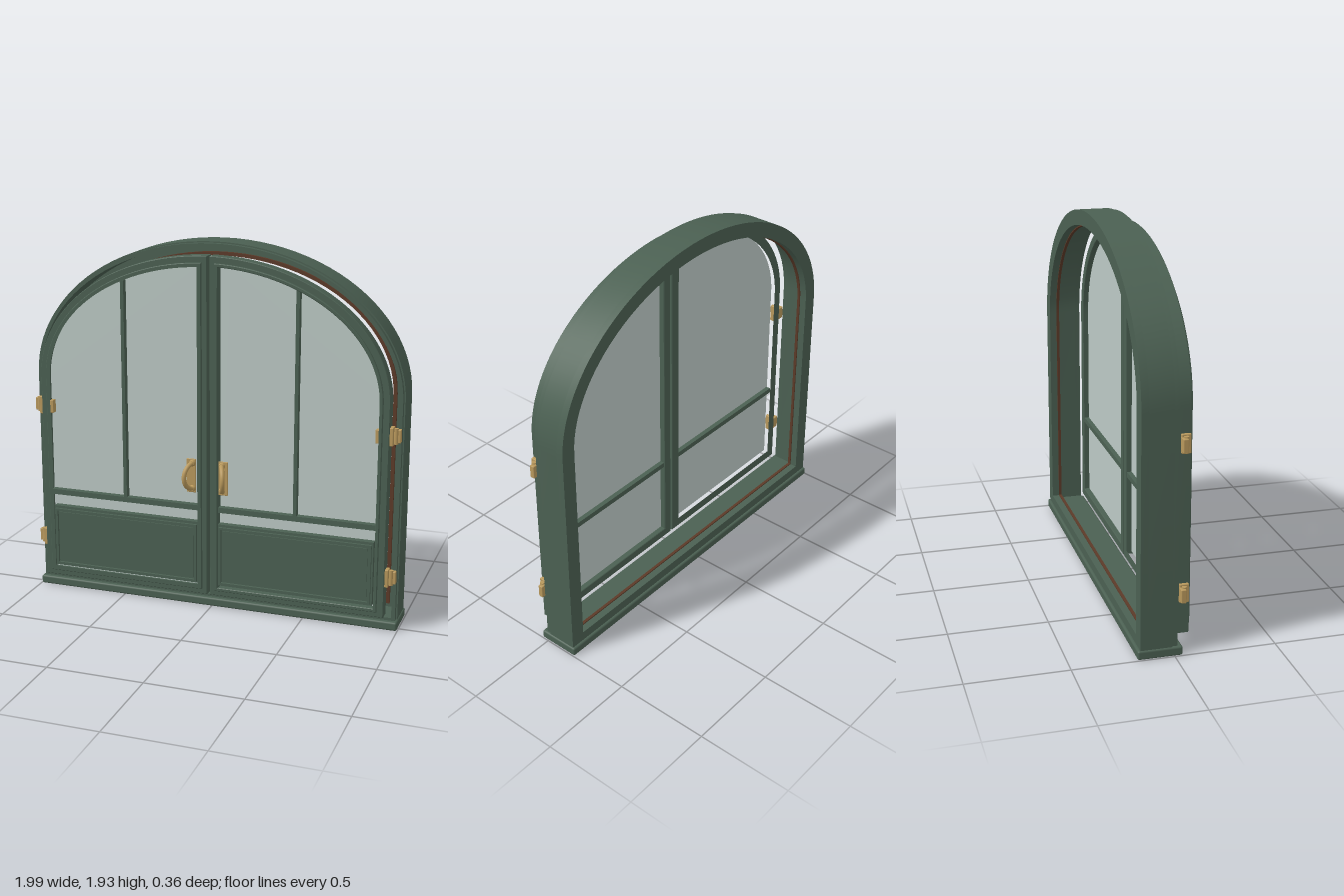
import * as THREE from 'three';
import { toCreasedNormals } from 'three/addons/utils/BufferGeometryUtils.js';
import { RoundedBoxGeometry } from 'three/addons/geometries/RoundedBoxGeometry.js';

const SPRING = 1.2; // height where the elliptical arch begins

export function createModel() {
  const mat = (name, color) => {
    const m = new THREE.MeshStandardMaterial({ color });
    m.name = name;
    return m;
  };
  const green = mat('green paint', 0x4b6052);
  const glass = mat('pale glass', 0xbcc9c5);
  const brass = mat('brass', 0xb8985c);
  const rubber = mat('brown seal', 0x5c3a28);

  const model = new THREE.Group();
  model.name = 'archedDoubleWindow';

  const add = (parent, name, geometry, material) => {
    const m = new THREE.Mesh(geometry, material);
    m.name = name;
    parent.add(m);
    return m;
  };

  // Box given by its limits; side s mirrors it in x
  const box = (parent, name, material, s, [x0, x1], [y0, y1], [z0, z1], radius = 0) => {
    const size = [x1 - x0, y1 - y0, z1 - z0];
    const g = radius ? new RoundedBoxGeometry(...size, 2, radius) : new THREE.BoxGeometry(...size);
    g.translate((s * (x0 + x1)) / 2, (y0 + y1) / 2, (z0 + z1) / 2);
    return add(parent, name, g, material);
  };

  // Arch outline from x0 to r, from bottom to the crown; x0 = -r is the whole arch
  const outline = (s, x0, r, bottom, top) => {
    const pts = [[x0, bottom], [r, bottom]];
    const end = Math.acos(x0 / r), n = 48;
    for (let i = 0; i <= n; i++) {
      const a = (end * i) / n;
      pts.push([r * Math.cos(a), SPRING + (top - SPRING) * Math.sin(a)]);
    }
    return pts.map(([x, y]) => new THREE.Vector2(s * x, y));
  };

  // Extruded arch, with an optional arched opening
  const arch = (parent, name, material, s, outer, inner, z0, z1, bevel = 0) => {
    const shape = new THREE.Shape(outline(s, ...outer));
    if (inner) shape.holes.push(new THREE.Path(outline(s, ...inner)));
    const g = new THREE.ExtrudeGeometry(shape, {
      depth: z1 - z0 - 2 * bevel,
      bevelEnabled: bevel > 0,
      bevelThickness: bevel, bevelSize: bevel, bevelOffset: -bevel, bevelSegments: 1,
    });
    g.translate(0, 0, z0 + bevel);
    return add(parent, name, toCreasedNormals(g, 0.4), material);
  };

  // Fixed frame: back flange, deep rebate, front lip, seal and sill
  const frame = new THREE.Group();
  frame.name = 'frame';
  model.add(frame);
  const full = (r, bottom, top) => [-r, r, bottom, top];
  arch(frame, 'frameFlange', green, 1, full(0.99, 0.03, 1.935), full(0.913, 0.095, 1.857), -0.167, -0.13);
  arch(frame, 'frameBody', green, 1, full(0.99, 0.03, 1.935), full(0.963, 0.06, 1.908), -0.13, -0.01);
  arch(frame, 'frameLip', green, 1, full(0.983, 0.03, 1.928), full(0.963, 0.06, 1.908), -0.01, 0.016);
  arch(frame, 'seal', rubber, 1, full(0.925, 0.083, 1.869), full(0.907, 0.101, 1.851), -0.13, -0.115);
  box(frame, 'sill', green, 1, [-0.997, 0.997], [0, 0.046], [-0.18, 0.04], 0.01);

  for (const s of [1, -1]) {
    const door = new THREE.Group();
    door.name = s > 0 ? 'leftDoor' : 'rightDoor';
    model.add(door);

    // Sash with raised trim and glass
    arch(door, 'sash', green, s, [0.007, 0.935, 0.085, 1.875], [0.055, 0.887, 0.132, 1.826], 0.02, 0.086, 0.003);
    arch(door, 'sashTrim', green, s, [0.034, 0.902, 0.115, 1.842], [0.053, 0.884, 0.134, 1.824], 0.084, 0.1, 0.003);
    arch(door, 'glass', glass, s, [0.05, 0.892, 0.127, 1.831], null, 0.05, 0.057);

    // Glazing bars
    box(door, 'crossBar', green, s, [0.05, 0.888], [0.548, 0.576], [0.025, 0.09]);
    box(door, 'uprightBar', green, s, [0.455, 0.473], [0.57, 1.73], [0.057, 0.09]);

    // Lower panel with a stepped bead around its field
    const panel = new THREE.Group();
    panel.name = 'lowerPanel';
    door.add(panel);
    box(panel, 'panelBoard', green, s, [0.055, 0.877], [0.146, 0.485], [0.058, 0.092]);
    const x0 = 0.062, x1 = 0.868, y0 = 0.155, y1 = 0.472, w = 0.012;
    for (const y of [y0, y1 - w]) box(panel, 'panelBead', green, s, [x0, x1], [y, y + w], [0.09, 0.105]);
    for (const x of [x0, x1 - w]) box(panel, 'panelBead', green, s, [x, x + w], [y0, y1], [0.09, 0.105]);
    box(panel, 'panelField', green, s, [0.082, 0.848], [0.175, 0.452], [0.09, 0.098]);

    // Hinges, with a small keeper beside the upper one
    for (const y of [0.295, 1.035]) {
      const hinge = new THREE.Group();
      hinge.name = 'hinge';
      door.add(hinge);
      box(hinge, 'hingeLeaf', brass, s, [0.945, 0.987], [y - 0.034, y + 0.034], [0.032, 0.058], 0.004);
      box(hinge, 'hingeBlock', brass, s, [0.934, 0.953], [y - 0.047, y + 0.047], [0.034, 0.08], 0.004);
      const pin = new THREE.CylinderGeometry(0.012, 0.012, 0.08, 16);
      pin.translate(s * 0.962, y, 0.053);
      add(hinge, 'hingePin', pin, brass);
    }
    box(door, 'keeper', brass, s, [0.867, 0.886], [1.0, 1.07], [0.06, 0.092], 0.003);

    // Pull handle: back plate, feet and bowed grip leaning outward
    const handle = new THREE.Group();
    handle.name = 'handle';
    door.add(handle);
    box(handle, 'handlePlate', brass, s, [0.062, 0.112], [0.65, 0.83], [0.098, 0.107], 0.003);
    const pts = [];
    for (let i = 0; i <= 12; i++) {
      const a = (Math.PI * i) / 12, out = Math.sin(a);
      pts.push(new THREE.Vector3(s * (0.076 + 0.028 * out), 0.74 - 0.068 * Math.cos(a), 0.104 + 0.063 * out));
    }
    add(handle, 'handleGrip', new THREE.TubeGeometry(new THREE.CatmullRomCurve3(pts), 32, 0.012, 12), brass);
    for (const y of [0.672, 0.808]) {
      const foot = new THREE.CylinderGeometry(0.012, 0.018, 0.014, 16);
      foot.rotateX(Math.PI / 2);
      foot.translate(s * 0.08, y, 0.113);
      add(handle, 'handleFoot', foot, brass);
    }
  }
  return model;
}
